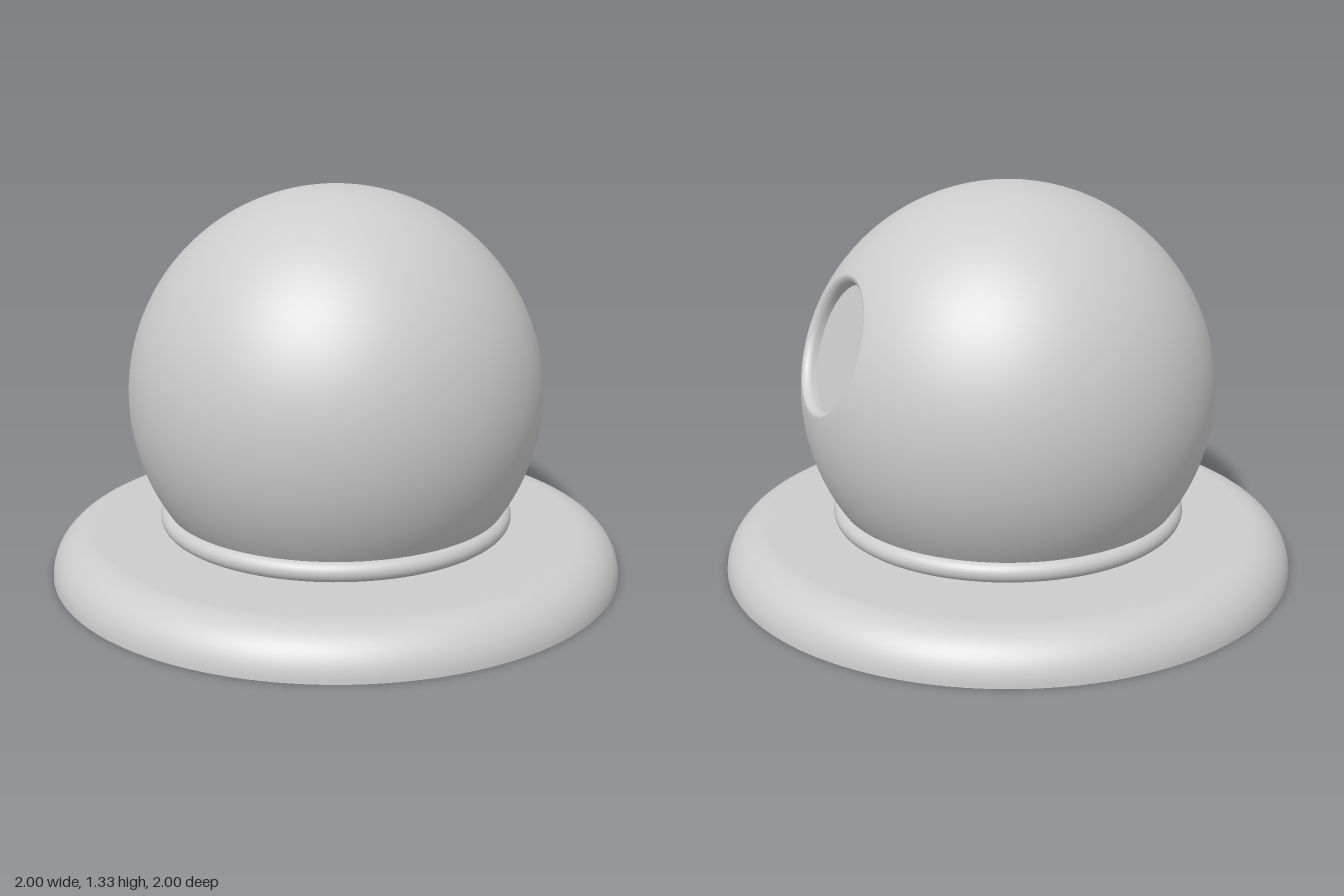
import * as THREE from 'three';

const RADIUS = 0.718;          // dome
const CENTER_Y = 0.614;
const BASE_TOP = 0.145;
const PORT_TILT = THREE.MathUtils.degToRad(-70.8); // porthole axis, leaning up from +x
const PORT_R = 0.213;
const PORT_FLOOR = 0.632;      // distance of the porthole floor from the dome centre

const grey = new THREE.MeshStandardMaterial({ color: 0xcccccc });
grey.name = 'grey';
const greyShell = new THREE.MeshStandardMaterial({ color: 0xcccccc, side: THREE.DoubleSide });
greyShell.name = 'grey shell';

// Points on an elliptical arc from angle a0 to a1
function arc(cx, cy, rx, ry, a0, a1, steps) {
  return Array.from({ length: steps + 1 }, (_, i) => {
    const a = a0 + (a1 - a0) * i / steps;
    return new THREE.Vector2(Math.max(0, cx + rx * Math.cos(a)), cy + ry * Math.sin(a));
  });
}

function addPart(group, name, geometry, material = grey) {
  const mesh = new THREE.Mesh(geometry, material);
  mesh.name = name;
  group.add(mesh);
  return mesh;
}

export function createModel() {
  const group = new THREE.Group();
  group.name = 'domeOnBase';
  const quarter = Math.PI / 2;

  // Hollow base: rounded rim closing into a flat top, open underneath
  const baseProfile = [
    ...arc(0.85, 0, 0.15, BASE_TOP, 0, quarter, 16),
    new THREE.Vector2(0.8, BASE_TOP),
    new THREE.Vector2(0, BASE_TOP),
  ];
  addPart(group, 'base', new THREE.LatheGeometry(baseProfile, 128), greyShell);

  // Rounded collar between base and dome
  const collarProfile = arc(0.585, 0.178, 0.037, 0.035, -quarter, quarter, 16);
  addPart(group, 'collar', new THREE.LatheGeometry(collarProfile, 128));

  // Dome turned around the porthole axis, with a rounded lip and recess wall
  const lipR = 0.238;
  const lipAngle = Math.acos(lipR / RADIUS);
  const lipY = RADIUS * Math.sin(lipAngle);
  const domeProfile = [
    ...arc(0, 0, RADIUS, RADIUS, -quarter, lipAngle, 80),
    ...arc(lipR, lipY - 0.03, lipR - PORT_R, 0.03, quarter, Math.PI, 8).slice(1),
    new THREE.Vector2(PORT_R, PORT_FLOOR),
  ];
  const dome = new THREE.LatheGeometry(domeProfile, 128);
  dome.rotateZ(PORT_TILT).translate(0, CENTER_Y, 0);
  // Flatten the part hidden inside the collar
  const p = dome.attributes.position;
  for (let i = 0; i < p.count; i++) p.setY(i, Math.max(p.getY(i), 0.175));
  addPart(group, 'dome', dome);

  // Flat floor of the porthole recess
  const floor = new THREE.CircleGeometry(PORT_R, 128);
  floor.rotateX(-quarter).translate(0, PORT_FLOOR, 0);
  floor.rotateZ(PORT_TILT).translate(0, CENTER_Y, 0);
  addPart(group, 'portholeFloor', floor);

  return group;
}
